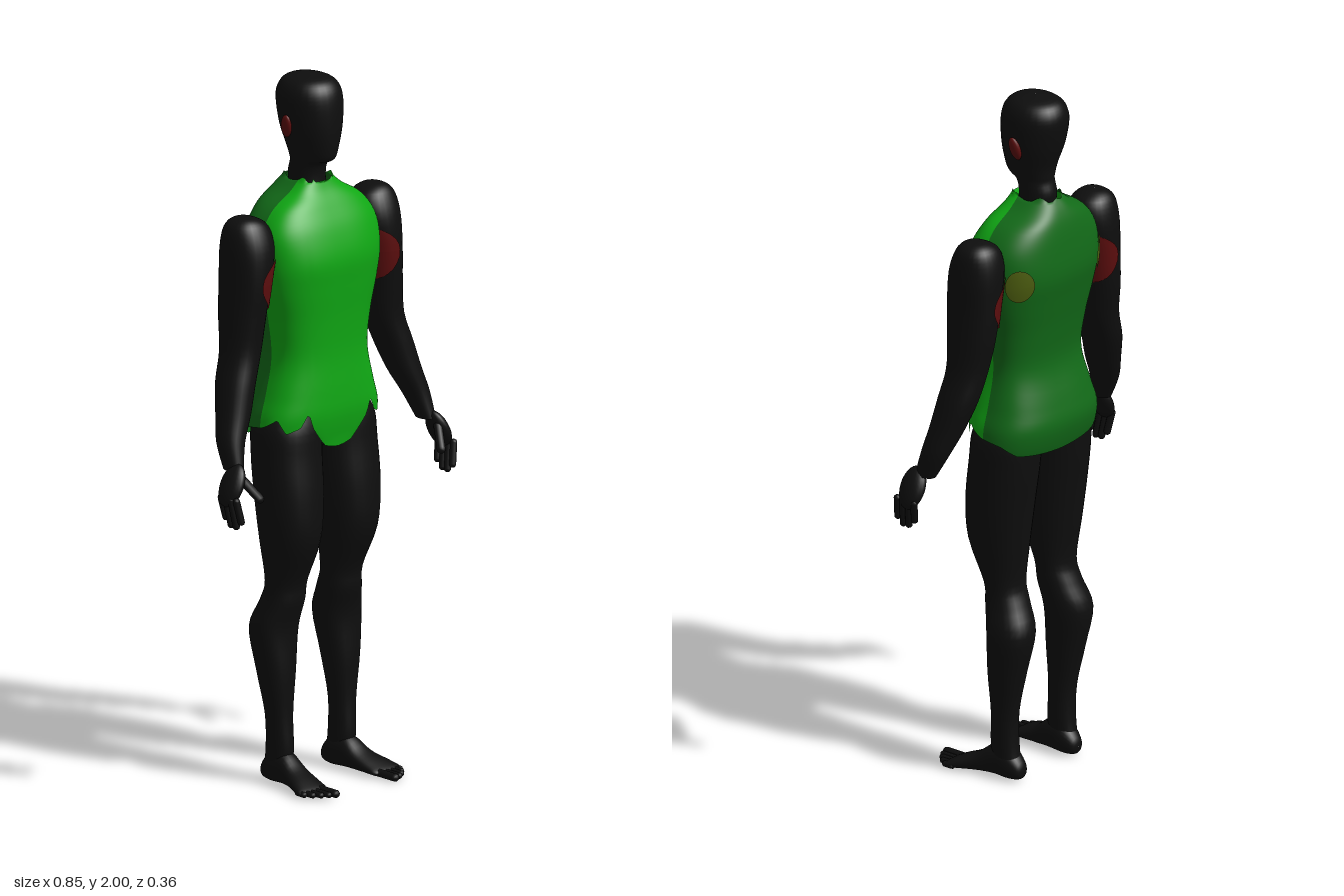
import * as THREE from 'three';

const mat = (name, color, side = THREE.FrontSide) => {
  const m = new THREE.MeshStandardMaterial({ color, side });
  m.name = name;
  return m;
};

// Cross-sections, bottom to top: [x, y, z, half width, front depth, back depth]
const TORSO = [
  [0, 0.97, -0.04, 0.2, 0.1, 0.115], [0, 1.05, -0.04, 0.2, 0.115, 0.135],
  [0, 1.12, -0.04, 0.18, 0.115, 0.122], [0, 1.22, -0.04, 0.158, 0.11, 0.095],
  [0, 1.32, -0.04, 0.168, 0.115, 0.105], [0, 1.42, -0.04, 0.19, 0.125, 0.125],
  [0, 1.5, -0.04, 0.2, 0.13, 0.14], [0, 1.58, -0.04, 0.195, 0.11, 0.135],
  [0, 1.64, -0.04, 0.155, 0.08, 0.125], [0, 1.68, -0.04, 0.09, 0.055, 0.11],
  [0, 1.71, -0.04, 0.054, 0.042, 0.09]];
const HEAD = [
  [0, 1.64, -0.055, 0.05, 0.05, 0.05], [0, 1.71, -0.06, 0.048, 0.048, 0.06],
  [0, 1.75, -0.055, 0.049, 0.052, 0.055], [0, 1.767, -0.055, 0.052, 0.085, 0.055],
  [0, 1.8, -0.055, 0.064, 0.095, 0.06], [0, 1.86, -0.055, 0.08, 0.1, 0.082],
  [0, 1.93, -0.055, 0.086, 0.098, 0.096], [0, 1.97, -0.055, 0.076, 0.086, 0.088],
  [0, 1.992, -0.055, 0.05, 0.058, 0.062], [0, 2, -0.055, 0.001, 0.001, 0.001]];
const ARM = [
  [0.365, 0.96, 0.025, 0.022, 0.032, 0.032], [0.352, 1.03, 0, 0.035, 0.042, 0.042],
  [0.325, 1.1, -0.018, 0.045, 0.05, 0.05], [0.3, 1.18, -0.035, 0.05, 0.058, 0.058],
  [0.272, 1.265, -0.045, 0.052, 0.06, 0.06], [0.26, 1.36, -0.05, 0.055, 0.072, 0.072],
  [0.25, 1.46, -0.05, 0.06, 0.08, 0.078], [0.24, 1.55, -0.052, 0.07, 0.078, 0.076],
  [0.24, 1.61, -0.055, 0.06, 0.06, 0.06], [0.245, 1.635, -0.055, 0.03, 0.035, 0.035],
  [0.245, 1.64, -0.055, 0.001, 0.001, 0.001]];
const LEG = [
  [0.118, 0.04, -0.055, 0.032, 0.04, 0.045], [0.118, 0.1, -0.05, 0.033, 0.044, 0.04],
  [0.12, 0.2, -0.05, 0.036, 0.04, 0.04], [0.122, 0.32, -0.055, 0.052, 0.048, 0.06],
  [0.12, 0.44, -0.06, 0.066, 0.05, 0.08], [0.108, 0.52, -0.045, 0.06, 0.055, 0.065],
  [0.105, 0.58, -0.035, 0.06, 0.052, 0.056], [0.108, 0.7, -0.02, 0.078, 0.088, 0.085],
  [0.108, 0.82, -0.02, 0.09, 0.092, 0.1], [0.105, 0.94, -0.03, 0.093, 0.09, 0.105],
  [0.1, 1.03, -0.035, 0.09, 0.085, 0.1], [0.09, 1.1, -0.035, 0.05, 0.05, 0.05]];
// Foot runs heel to toe along y, then is turned to point forwards
const FOOT = [
  [0.115, -0.112, -0.03, 0.001, 0.001, 0.001], [0.115, -0.105, -0.03, 0.022, 0.022, 0.025],
  [0.116, -0.07, -0.04, 0.036, 0.038, 0.05], [0.118, -0.02, -0.04, 0.037, 0.036, 0.055],
  [0.125, 0.03, -0.03, 0.042, 0.027, 0.03], [0.137, 0.08, -0.018, 0.05, 0.016, 0.02],
  [0.142, 0.11, -0.013, 0.047, 0.011, 0.01], [0.142, 0.122, -0.012, 0.001, 0.001, 0.001]];

// Smooth interpolation between sections at t, counted in sections
function sectionAt(rings, t) {
  const n = rings.length - 1, i = Math.min(Math.floor(t), n - 1), f = t - i;
  const r = k => rings[Math.max(0, Math.min(n, k))];
  return rings[0].map((_, c) => {
    const [a, b, d, e] = [r(i - 1)[c], r(i)[c], r(i + 1)[c], r(i + 2)[c]];
    return b + 0.5 * f * (d - a + f * (2 * a - 5 * b + 4 * d - e + f * (3 * (b - d) + e - a)));
  });
}

// Point on a lofted surface; angle 0 faces front, grows towards +x
function surfacePoint(rings, power, t, a, grow = 0) {
  const [x, y, z, w, f, b] = sectionAt(rings, t);
  const pw = v => Math.sign(v) * Math.abs(v) ** (2 / power);
  const s = Math.sin(a), c = Math.cos(a);
  return [x + (w + grow) * pw(s), y, z + ((c > 0 ? f : b) + grow) * pw(c)];
}

// Grid of quads over point(u, v), optionally mirrored in x and closed in u
function grid(point, nu, nv, side = 1, closed = false) {
  const pos = [], idx = [], cols = closed ? nu : nu + 1;
  for (let j = 0; j <= nv; j++) for (let i = 0; i < cols; i++) {
    const [x, y, z] = point(i / nu, j / nv);
    pos.push(x * side, y, z);
  }
  for (let j = 0; j < nv; j++) for (let i = 0; i < nu; i++) {
    const a = j * cols + i, b = j * cols + (i + 1) % cols, c = b + cols, d = a + cols;
    idx.push(...(side > 0 ? [a, b, c, a, c, d] : [a, c, b, a, d, c]));
  }
  const g = new THREE.BufferGeometry();
  g.setAttribute('position', new THREE.Float32BufferAttribute(pos, 3));
  g.setIndex(idx);
  g.computeVertexNormals();
  return g;
}

const loft = (rings, side = 1, power = 2.2) => grid((u, v) =>
  surfacePoint(rings, power, v * (rings.length - 1), u * Math.PI * 2), 28, (rings.length - 1) * 4, side, true);

// Rounded patch lying just above a lofted surface
const patch = (rings, power, t, a, dt, da, side) => grid((u, v) =>
  surfacePoint(rings, power, t + dt * v * Math.sin(u * Math.PI * 2),
    a + da * v * Math.cos(u * Math.PI * 2), 0.004), 28, 10, side);

// Jagged lower hem of the suit: [angle, height]
const HEM = [[0, 0.96], [0.15, 0.97], [0.4, 1.03], [0.52, 1.075], [0.65, 1.035], [0.95, 1.02],
  [1.2, 1.06], [1.57, 1.03], [1.9, 1.02], [2.3, 0.99], [3.15, 0.975]];
function hemHeight(a) {
  const k = HEM.findIndex(h => h[0] >= a), [a1, y1] = HEM[k], [a0, y0] = HEM[Math.max(0, k - 1)];
  return k < 1 ? y1 : y0 + (y1 - y0) * (a - a0) / (a1 - a0);
}

// One half of the suit, front or back, between two angles
const suitHalf = (from, to) => grid((u, v) => {
  const a = from + (to - from) * u, side = Math.abs(Math.atan2(Math.sin(a), Math.cos(a)));
  const n = TORSO.length - 1, hem = hemHeight(side);
  // start each column at its hem height
  const t0 = Math.max(0, hem < 1.05 ? (hem - 0.97) / 0.08 : 1 + (hem - 1.05) / 0.07);
  const p = surfacePoint(TORSO, 2.7, t0 + (n - t0) * v, a);
  if (v === 0) p[1] = hem;
  // notched collar
  if (v === 1) p[1] += side < 0.6 ? -0.025 + 0.05 * side : 0.008 * Math.sin(side * 6);
  return p;
}, 64, 44);

export function createModel() {
  const black = mat('black', 0x0e0e0e);
  const frontGreen = mat('front green', 0x10a814, THREE.DoubleSide);
  const backGreen = mat('back green', 0x126a18, THREE.DoubleSide);
  const red = mat('dark red', 0x5c0e0e, THREE.DoubleSide);
  const olive = mat('olive', 0x4e5f10, THREE.DoubleSide);

  const root = new THREE.Group();
  root.name = 'figure';
  const add = (name, geo, material) => {
    const m = new THREE.Mesh(geo, material);
    m.name = name;
    root.add(m);
    return m;
  };
  const ball = (name, p, r, material) => {
    const m = add(name, new THREE.SphereGeometry(1, 20, 14), material);
    m.position.set(...p);
    m.scale.set(...r);
    return m;
  };
  // Rounded digit between two points
  const digit = (name, side, from, to, r) => {
    const a = new THREE.Vector3(...from), b = new THREE.Vector3(...to);
    a.x *= side;
    b.x *= side;
    const d = b.clone().sub(a);
    const m = add(name, new THREE.CapsuleGeometry(r, Math.max(0.001, d.length() - 2 * r), 4, 8), black);
    m.position.copy(a).add(b).multiplyScalar(0.5);
    m.quaternion.setFromUnitVectors(new THREE.Vector3(0, 1, 0), d.normalize());
  };

  add('suitFront', suitHalf(-Math.PI / 2, Math.PI / 2), frontGreen);
  add('suitBack', suitHalf(Math.PI / 2, Math.PI * 1.5), backGreen);
  add('headAndNeck', loft(HEAD, 1, 2.1), black);
  ball('pelvis', [0, 1.02, -0.04], [0.17, 0.08, 0.09], black);

  for (const side of [1, -1]) {
    const n = side > 0 ? 'left' : 'right';
    const ear = ball(n + 'Ear', [side * 0.086, 1.865, -0.056], [0.011, 0.035, 0.018], red);
    ear.rotation.set(0.2, 0, -side * 0.2);
    add(n + 'BackPatch', patch(TORSO, 2.7, 6, 2.27, 0.6, 0.3, side), olive);

    // Arm and hand
    add(n + 'Arm', loft(ARM, side), black);
    add(n + 'ArmPatch', patch(ARM, 2.2, 6, -1.55, 0.85, 1.7, side), red);
    ball(n + 'Palm', [side * 0.393, 0.925, 0.048], [0.023, 0.062, 0.04], black).rotation.z = side * 0.45;
    for (let i = 0; i < 4; i++) {
      const z = 0.025 + i * 0.02;
      digit(n + 'Finger', side, [0.415, 0.9, z], [0.4, 0.825 - 0.022 * Math.sin(i), z + 0.01], 0.0105);
    }
    digit(n + 'Thumb', side, [0.38, 0.955, 0.055], [0.34, 0.88, 0.115], 0.013);

    // Leg and foot
    add(n + 'Leg', loft(LEG, side), black);
    add(n + 'Foot', loft(FOOT, side).rotateX(Math.PI / 2), black);
    [[0.113, 0.178], [0.134, 0.17], [0.152, 0.158], [0.168, 0.142], [0.182, 0.122]].forEach(([x, z], i) =>
      digit(n + 'Toe', side, [x, 0.013, 0.08], [x, 0.012, z], i ? 0.009 : 0.012));
  }
  return root;
}
